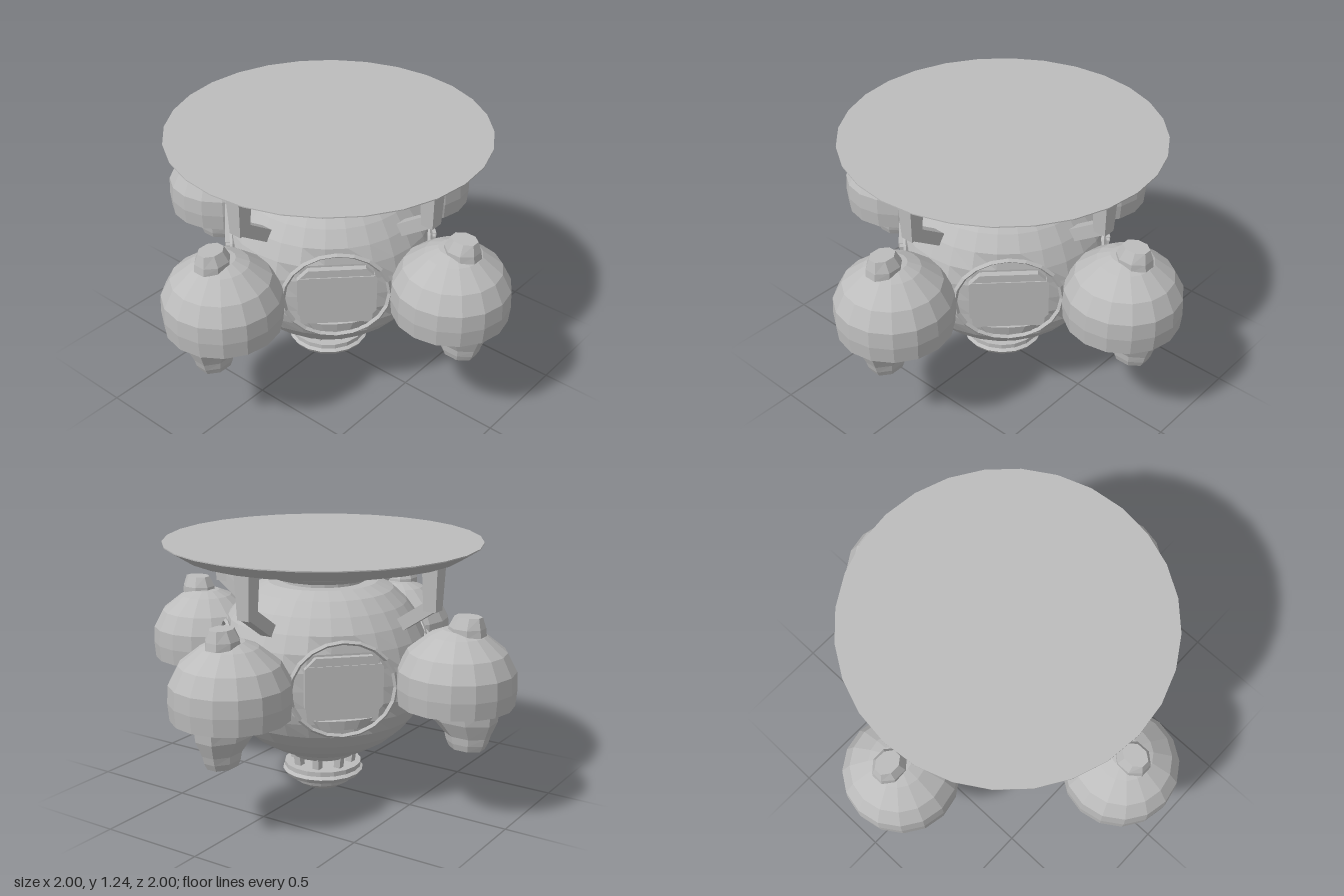
import * as THREE from 'three';

export function createModel() {
  const root = new THREE.Group();
  root.name = 'podStation';
  const grey = new THREE.MeshStandardMaterial({ color: 0xbcbcbc, flatShading: true });
  grey.name = 'grey';

  const add = (parent, name, geo, x = 0, y = 0, z = 0) => {
    const m = new THREE.Mesh(geo, grey);
    m.name = name;
    m.position.set(x, y, z);
    parent.add(m);
    return m;
  };
  // profile runs from bottom to top as [radius, y]
  const lathe = (pts, n) => new THREE.LatheGeometry(pts.map(p => new THREE.Vector2(...p)), n);

  // sections are [y, centre x, radius x, radius z], listed upwards
  const loft = (sections, n) => {
    const pos = [], idx = [];
    for (const [y, cx, rx, rz] of sections) {
      for (let i = 0; i < n; i++) {
        const a = (i + 0.5) / n * Math.PI * 2;
        pos.push(cx + rx * Math.cos(a), y, rz * Math.sin(a));
      }
    }
    for (let s = 0; s < sections.length - 1; s++) {
      for (let i = 0; i < n; i++) {
        const a = s * n + i, b = s * n + (i + 1) % n;
        idx.push(a, a + n, b, b, a + n, b + n);
      }
    }
    const top = (sections.length - 1) * n;
    for (let i = 1; i < n - 1; i++) idx.push(0, i, i + 1, top, top + i + 1, top + i);
    const g = new THREE.BufferGeometry();
    g.setAttribute('position', new THREE.Float32BufferAttribute(pos, 3));
    g.setIndex(idx);
    g.computeVertexNormals();
    return g;
  };

  // square bar between two points
  const bar = (parent, name, a, b, w) => {
    const from = new THREE.Vector3(...a), to = new THREE.Vector3(...b);
    const m = add(parent, name, new THREE.BoxGeometry(w, from.distanceTo(to), w));
    m.position.copy(from).add(to).multiplyScalar(0.5);
    m.quaternion.setFromUnitVectors(new THREE.Vector3(0, 1, 0), to.sub(from).normalize());
    return m;
  };

  // spherical body, flat on top and cut flat on its four diagonals
  const CY = 0.635, R = 0.525, CUT = 0.462;
  const ball = new THREE.SphereGeometry(R, 28, 18);
  const p = ball.attributes.position, v = new THREE.Vector3();
  for (let i = 0; i < p.count; i++) {
    v.fromBufferAttribute(p, i);
    v.y = Math.min(v.y * (v.y > 0 ? 0.94 : 0.88), 0.41);
    for (let k = 0; k < 4; k++) {
      const a = Math.PI / 4 + k * Math.PI / 2;
      const d = new THREE.Vector3(Math.cos(a), 0, Math.sin(a));
      const over = v.dot(d) - CUT;
      if (over > 0) v.addScaledVector(d, -over);
    }
    p.setXYZ(i, v.x, v.y, v.z);
  }
  add(root, 'body', ball, 0, CY, 0);

  // landing deck, bowl collar and neck
  add(root, 'deck', lathe([[0, 1.225], [0.57, 1.22], [0.6, 1.18], [0.67, 1.18], [0.757, 1.235], [0.757, 1.24], [0, 1.24]], 28));
  add(root, 'collar', lathe([[0, 1.07], [0.25, 1.07], [0.275, 1.09], [0.33, 1.165],
    [0.34, 1.18], [0.46, 1.195], [0.49, 1.225]], 20));
  add(root, 'neck', new THREE.CylinderGeometry(0.2, 0.2, 0.06, 20), 0, 1.05, 0);

  // pod parts shared by all four sides
  const podGeo = lathe([[0, 0.575], [0.2, 0.575], [0.225, 0.55], [0.268, 0.56], [0.275, 0.64],
    [0.27, 0.72], [0.225, 0.805], [0.13, 0.88], [0.07, 0.905], [0, 0.91]], 16);
  const knobGeo = loft([[0.885, 0.77, 0.09, 0.075], [0.92, 0.77, 0.085, 0.075], [0.97, 0.775, 0.065, 0.05]], 8);
  const nozzleGeo = loft([[0.355, 0.79, 0.085, 0.065], [0.385, 0.79, 0.1, 0.075], [0.42, 0.79, 0.11, 0.08],
    [0.49, 0.77, 0.16, 0.115], [0.58, 0.75, 0.19, 0.13]], 8);

  // window plate with clipped corners
  const plate = new THREE.Shape([[-0.18, -0.09], [-0.13, -0.15], [0.13, -0.15], [0.18, -0.09],
    [0.18, 0.09], [0.13, 0.14], [-0.13, 0.14], [-0.18, 0.09]].map(c => new THREE.Vector2(...c)));
  const plateGeo = new THREE.ExtrudeGeometry(plate, { depth: 0.03, bevelEnabled: false });

  for (let k = 0; k < 4; k++) {
    const side = new THREE.Group();
    side.name = 'side' + (k + 1);
    side.rotation.y = k * Math.PI / 2;
    root.add(side);

    // engine pod
    add(side, 'podShell', podGeo, 0.725, 0, 0);
    add(side, 'podKnob', knobGeo);
    add(side, 'podNozzle', nozzleGeo);
    add(side, 'podMount', new THREE.BoxGeometry(0.12, 0.18, 0.22), 0.5, 0.64, 0);

    // bent deck support
    add(side, 'deckPost', loft([[0.97, 0.595, 0.045, 0.045], [1.225, 0.595, 0.058, 0.06]], 4));
    bar(side, 'deckBrace', [0.605, 1.0, 0], [0.4, 0.86, 0], 0.06);

    // framed window on the diagonal, with a ledge above and a lip below
    const port = new THREE.Group();
    port.name = 'window';
    port.rotation.y = k * Math.PI / 2 + Math.PI / 4;
    port.position.y = CY;
    root.add(port);
    const frame = add(port, 'windowFrame', new THREE.TorusGeometry(0.245, 0.012, 4, 20), 0, 0, CUT);
    frame.scale.y = 0.9;
    add(port, 'windowPlate', plateGeo, 0, 0.02, CUT);
    add(port, 'windowLedge', new THREE.BoxGeometry(0.34, 0.025, 0.05), 0, 0.11, CUT + 0.01);
    const lip = add(port, 'windowLip', new THREE.CylinderGeometry(0.15, 0.12, 0.045, 12), 0, -0.16, CUT - 0.01);
    lip.scale.z = 0.3;
  }

  // foot: open strut ring over a stepped disc
  add(root, 'footCore', new THREE.CylinderGeometry(0.05, 0.05, 0.14, 10), 0, 0.14, 0);
  add(root, 'footCap', new THREE.CylinderGeometry(0.185, 0.16, 0.03, 16), 0, 0.19, 0);
  for (let i = 0; i < 8; i++) {
    const a = (i + 0.5) * Math.PI / 4, x = Math.cos(a), z = Math.sin(a);
    bar(root, 'footStrut', [0.135 * x, 0.11, 0.135 * z], [0.145 * x, 0.19, 0.145 * z], 0.035);
  }
  add(root, 'footDisc', lathe([[0, 0], [0.09, 0.003], [0.14, 0.035], [0.15, 0.06], [0.185, 0.068],
    [0.2, 0.09], [0.175, 0.1], [0.19, 0.105], [0.19, 0.128], [0, 0.13]], 18));

  return root;
}
